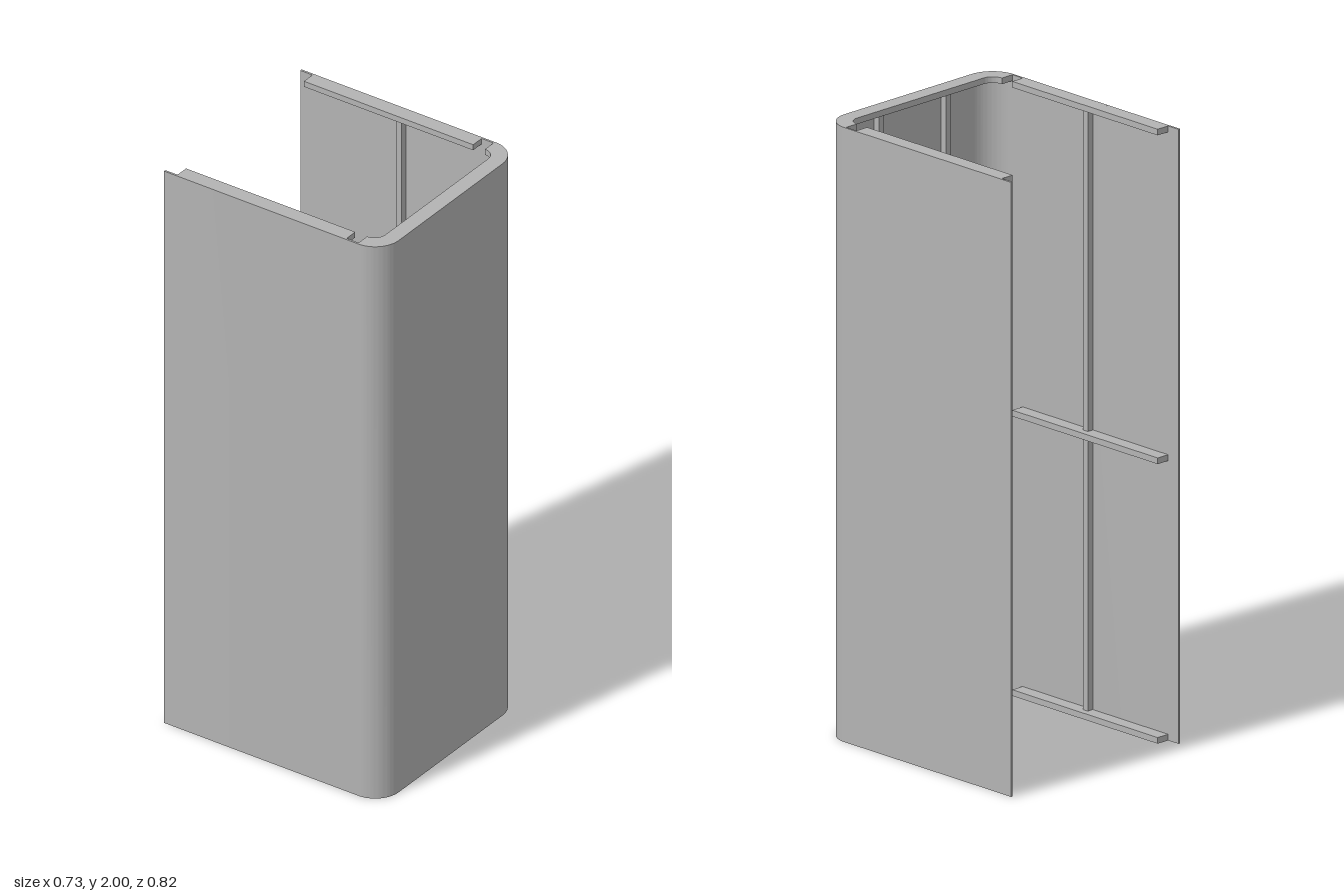
import * as THREE from 'three';
import { toCreasedNormals } from 'three/addons/utils/BufferGeometryUtils.js';

const HEIGHT = 2;
const RIB = 0.02;
const OUTER = { x: 0.365, z: 0.411, r: 0.09 };
const SKIN = { x: 0.358, z: 0.404, r: 0.083 };
const RIB_EDGE = { x: 0.313, z: 0.358, r: 0.04 };

// U-shaped plan between two rounded outlines, open towards the back
function channelPlan(out, inn, back) {
  const s = new THREE.Shape();
  s.moveTo(out.x, back);
  s.lineTo(out.x, out.z - out.r);
  s.absarc(out.x - out.r, out.z - out.r, out.r, 0, Math.PI / 2, false);
  s.lineTo(-out.x + out.r, out.z);
  s.absarc(-out.x + out.r, out.z - out.r, out.r, Math.PI / 2, Math.PI, false);
  s.lineTo(-out.x, back);
  s.lineTo(-inn.x, back);
  s.lineTo(-inn.x, inn.z - inn.r);
  s.absarc(-inn.x + inn.r, inn.z - inn.r, inn.r, Math.PI, Math.PI / 2, true);
  s.lineTo(inn.x - inn.r, inn.z);
  s.absarc(inn.x - inn.r, inn.z - inn.r, inn.r, Math.PI / 2, 0, true);
  s.lineTo(inn.x, back);
  return s;
}

// Extrude a plan (x, z) upwards from y = 0
function raise(plan, height) {
  const g = new THREE.ExtrudeGeometry(plan, { depth: height, bevelEnabled: false, curveSegments: 16 });
  g.rotateX(Math.PI / 2).translate(0, height, 0);
  return toCreasedNormals(g, 0.5);
}

export function createModel() {
  const model = new THREE.Group();
  model.name = 'channelCover';
  const grey = new THREE.MeshStandardMaterial({ color: 0xb3b3b3 });
  grey.name = 'grey';

  const add = (name, geometry, x, y, z) => {
    const mesh = new THREE.Mesh(geometry, grey);
    mesh.name = name;
    mesh.position.set(x, y, z);
    model.add(mesh);
  };

  // Thin outer skin
  add('shell', raise(channelPlan(OUTER, SKIN, -0.413), HEIGHT), 0, 0, 0);

  // Horizontal stiffeners at bottom, middle and top
  const frontRib = raise(channelPlan(SKIN, RIB_EDGE, 0.318), RIB);
  const depth = SKIN.x - RIB_EDGE.x;
  const sideRib = new THREE.BoxGeometry(depth, RIB, 0.64);
  for (const y of [0, 0.91, HEIGHT - RIB]) {
    add('frontRib', frontRib, 0, y, 0);
    for (const side of [-1, 1]) {
      add('sideRib', sideRib, side * (SKIN.x - depth / 2), y + RIB / 2, -0.047);
    }
  }

  // Vertical stiffeners: one on each side wall, two on the front wall
  const upright = new THREE.BoxGeometry(0.022, HEIGHT - 0.01, 0.022);
  for (const side of [-1, 1]) {
    add('sideUpright', upright, side * (SKIN.x - 0.011), HEIGHT / 2, -0.025);
    add('frontUpright', upright, side * 0.145, HEIGHT / 2, SKIN.z - 0.011);
  }
  return model;
}
